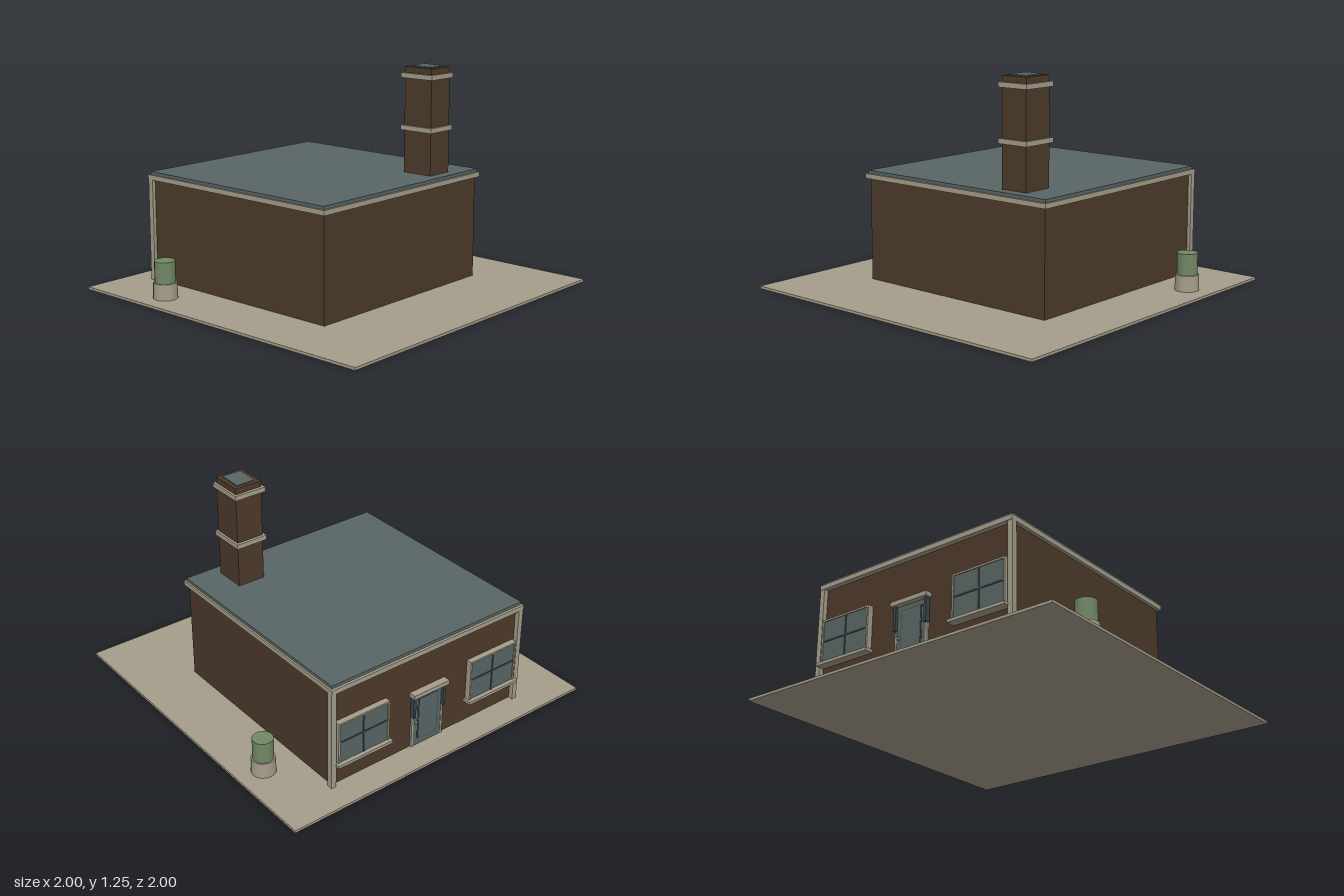
import * as THREE from 'three';

const mat = (name, color) => new THREE.MeshStandardMaterial({ name, color });

export function createModel() {
  const model = new THREE.Group();
  model.name = 'house';
  const stone = mat('stone', 0xa69e8b);
  const brick = mat('brick', 0x4e3a2b);
  const slate = mat('slate', 0x586665);
  const dark = mat('darkSlate', 0x3c474a);
  const green = mat('foliage', 0x728964);

  // Box given by its min and max on each axis
  const box = (name, m, x0, x1, y0, y1, z0, z1, parent = model) => {
    const mesh = new THREE.Mesh(new THREE.BoxGeometry(x1 - x0, y1 - y0, z1 - z0), m);
    mesh.position.set((x0 + x1) / 2, (y0 + y1) / 2, (z0 + z1) / 2);
    mesh.name = name;
    parent.add(mesh);
    return mesh;
  };

  // Ground slab and main block
  box('groundSlab', stone, -1, 1, 0, 0.015, -1, 1);
  box('walls', brick, -0.64, 0.64, 0.015, 0.605, -0.828, 0.475);
  box('cornice', stone, -0.66, 0.66, 0.602, 0.63, -0.858, 0.495);
  box('roof', slate, -0.65, 0.65, 0.63, 0.648, -0.843, 0.482);

  // Chimney with two stone bands and a flue
  const chimney = new THREE.Group();
  chimney.name = 'chimney';
  model.add(chimney);
  box('chimneyStack', brick, 0.3, 0.465, 0.64, 1.247, 0.23, 0.417, chimney);
  for (const y of [0.89, 1.185]) {
    box('chimneyBand', stone, 0.285, 0.478, y, y + 0.028, 0.213, 0.43, chimney);
  }
  box('chimneyFlue', slate, 0.325, 0.44, 1.24, 1.253, 0.253, 0.392, chimney);

  // Windows on the entrance wall
  const makeWindow = (cx) => {
    const g = new THREE.Group();
    g.name = 'window';
    g.position.x = cx;
    model.add(g);
    const w = 0.168, b = 0.16, t = 0.41, f = 0.01;
    box('glass', slate, -w + f, w - f, b, t - f, -0.856, -0.82, g);
    for (const s of [-1, 1]) {
      const x = s * (w - f / 2);
      box('windowJamb', stone, x - f / 2, x + f / 2, b, t, -0.862, -0.82, g);
    }
    box('windowHead', stone, -w, w, t - f, t, -0.862, -0.82, g);
    box('windowSill', stone, -0.18, 0.18, 0.145, 0.162, -0.88, -0.82, g);
    box('mullion', dark, -0.005, 0.005, b, t - f, -0.86, -0.85, g);
    box('glazingBar', dark, -w + f, w - f, 0.282, 0.292, -0.86, -0.85, g);
  };

  // Mirrored parts: windows, corner posts, planters, door surrounds
  for (const s of [-1, 1]) {
    makeWindow(s * 0.452);
    box('cornerPost', stone, s * 0.645 - 0.015, s * 0.645 + 0.015, 0.015, 0.605, -0.855, -0.822);
    box('doorJamb', stone, s * 0.103 - 0.006, s * 0.103 + 0.006, 0.015, 0.35, -0.84, -0.82);
    box('doorBracket', dark, s * 0.103 - 0.008, s * 0.103 + 0.008, 0.21, 0.345, -0.855, -0.82);

    const planter = new THREE.Group();
    planter.name = 'planter';
    planter.position.set(s * 0.848, 0.015, -0.515);
    const pot = new THREE.Mesh(new THREE.CylinderGeometry(0.066, 0.069, 0.09, 16), stone);
    pot.name = 'pot';
    pot.position.y = 0.045;
    const shrub = new THREE.Mesh(new THREE.CylinderGeometry(0.058, 0.058, 0.14, 16), green);
    shrub.name = 'shrub';
    shrub.position.y = 0.142;
    planter.add(pot, shrub);
    model.add(planter);
  }

  // Door, lintel and handle
  box('door', slate, -0.098, 0.098, 0.015, 0.348, -0.838, -0.82);
  box('doorPanelEdge', dark, -0.07, 0.07, 0.05, 0.32, -0.84, -0.83);
  box('doorPanel', slate, -0.064, 0.064, 0.056, 0.314, -0.843, -0.83);
  box('doorHandle', stone, 0.076, 0.088, 0.16, 0.175, -0.85, -0.83);
  box('doorLintel', stone, -0.122, 0.122, 0.345, 0.37, -0.87, -0.82);

  return model;
}
